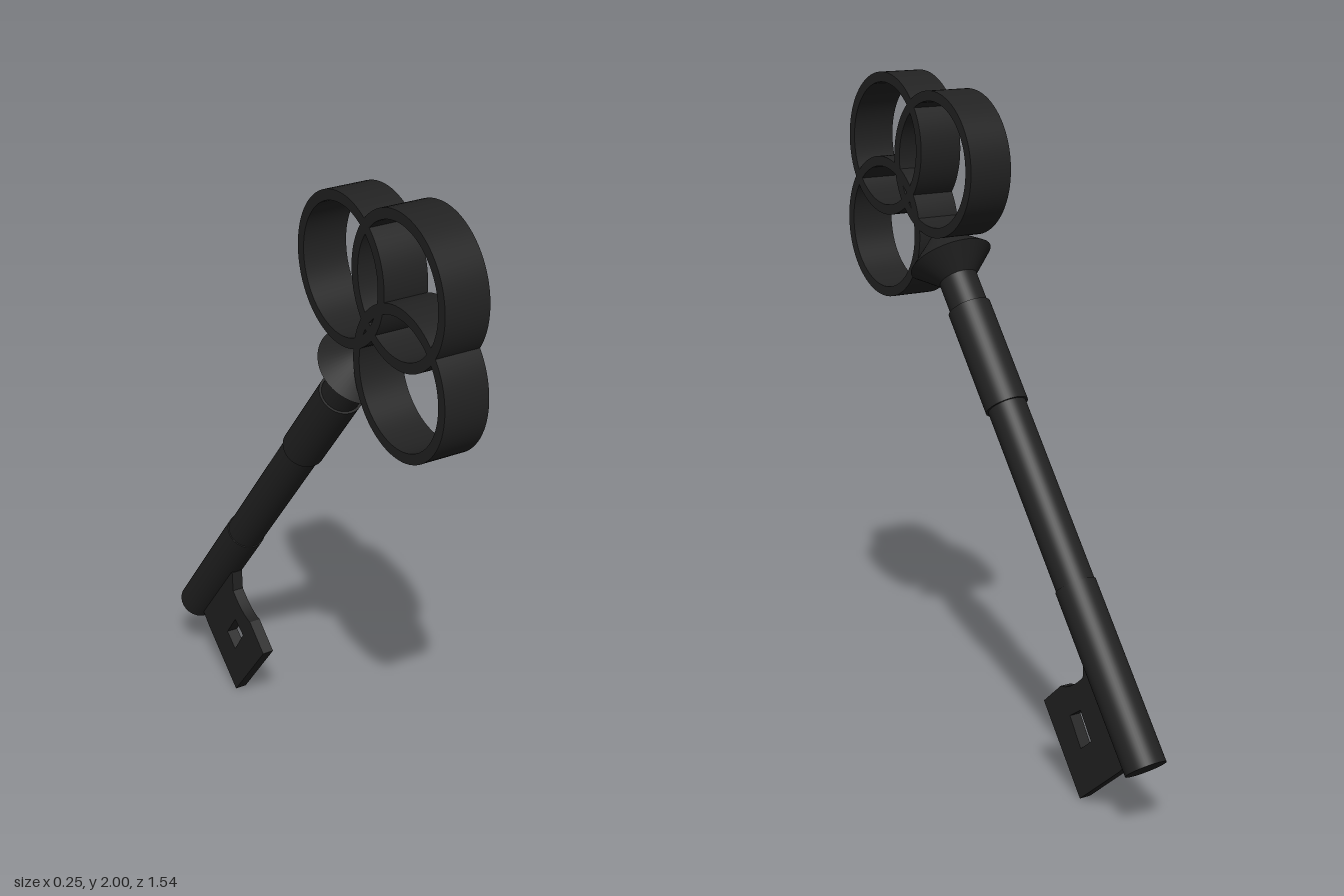
import * as THREE from 'three';
import { toCreasedNormals } from 'three/addons/utils/BufferGeometryUtils.js';

const material = new THREE.MeshStandardMaterial({ color: 0x222222 });
const TILT = 0.666; // lean of the shaft from upright towards the front

function add(parent, name, geometry) {
  const mesh = new THREE.Mesh(geometry, material);
  mesh.name = name;
  parent.add(mesh);
  return mesh;
}

// Extrude a (z, y) outline evenly to both sides of x = 0
function plate(shape, width, segments = 12) {
  const g = new THREE.ExtrudeGeometry(shape, { depth: width, bevelEnabled: false, curveSegments: segments });
  g.translate(0, 0, -width / 2);
  g.rotateY(-Math.PI / 2);
  return toCreasedNormals(g, 0.5);
}

export function createModel() {
  const key = new THREE.Group();
  key.name = 'key';

  // Shaft, built upright from its tip and then leaned forward
  const shaft = new THREE.Group();
  shaft.name = 'shaft';
  shaft.position.set(0, 0.194, -0.72);
  shaft.rotation.x = TILT;
  key.add(shaft);

  // name, bottom, top, bottom radius, top radius
  const sections = [
    ['tipSection', 0, 0.55, 0.061, 0.061],
    ['stem', 0.55, 1.12, 0.058, 0.058],
    ['collar', 1.12, 1.447, 0.065, 0.065],
    ['neck', 1.447, 1.56, 0.058, 0.058],
    ['flangeUnderside', 1.545, 1.612, 0.057, 0.126],
    ['flangeTop', 1.612, 1.69, 0.126, 0.04],
  ];
  for (const [name, y0, y1, r0, r1] of sections) {
    add(shaft, name, new THREE.CylinderGeometry(r1, r0, y1 - y0, 48)).position.y = (y0 + y1) / 2;
  }

  // Three interlocking rings of the bow
  const rings = [['backRing', 0.27, 1.75], ['topRing', 0.543, 1.785], ['frontRing', 0.556, 1.53]];
  for (const [name, z, y] of rings) {
    const ring = new THREE.Shape().absarc(0, 0, 0.215, 0, Math.PI * 2);
    ring.holes.push(new THREE.Path().absarc(0, 0, 0.185, 0, Math.PI * 2, true));
    add(key, name, plate(ring, 0.136, 40)).position.set(0, y, z);
  }

  // Flat bit with a curved shoulder and a slanted window
  const bit = new THREE.Shape();
  bit.moveTo(-0.52, 0.445);
  bit.lineTo(-0.448, 0.44);
  bit.lineTo(-0.444, 0.375);
  bit.quadraticCurveTo(-0.385, 0.318, -0.336, 0.313);
  bit.lineTo(-0.252, 0.239);
  bit.lineTo(-0.437, 0);
  bit.lineTo(-0.623, 0.154);
  bit.lineTo(-0.69, 0.225);
  bit.closePath();
  bit.holes.push(new THREE.Path([
    [-0.384, 0.238], [-0.434, 0.272], [-0.488, 0.196], [-0.438, 0.156],
  ].map(([z, y]) => new THREE.Vector2(z, y))));
  add(key, 'bit', plate(bit, 0.036));

  return key;
}
